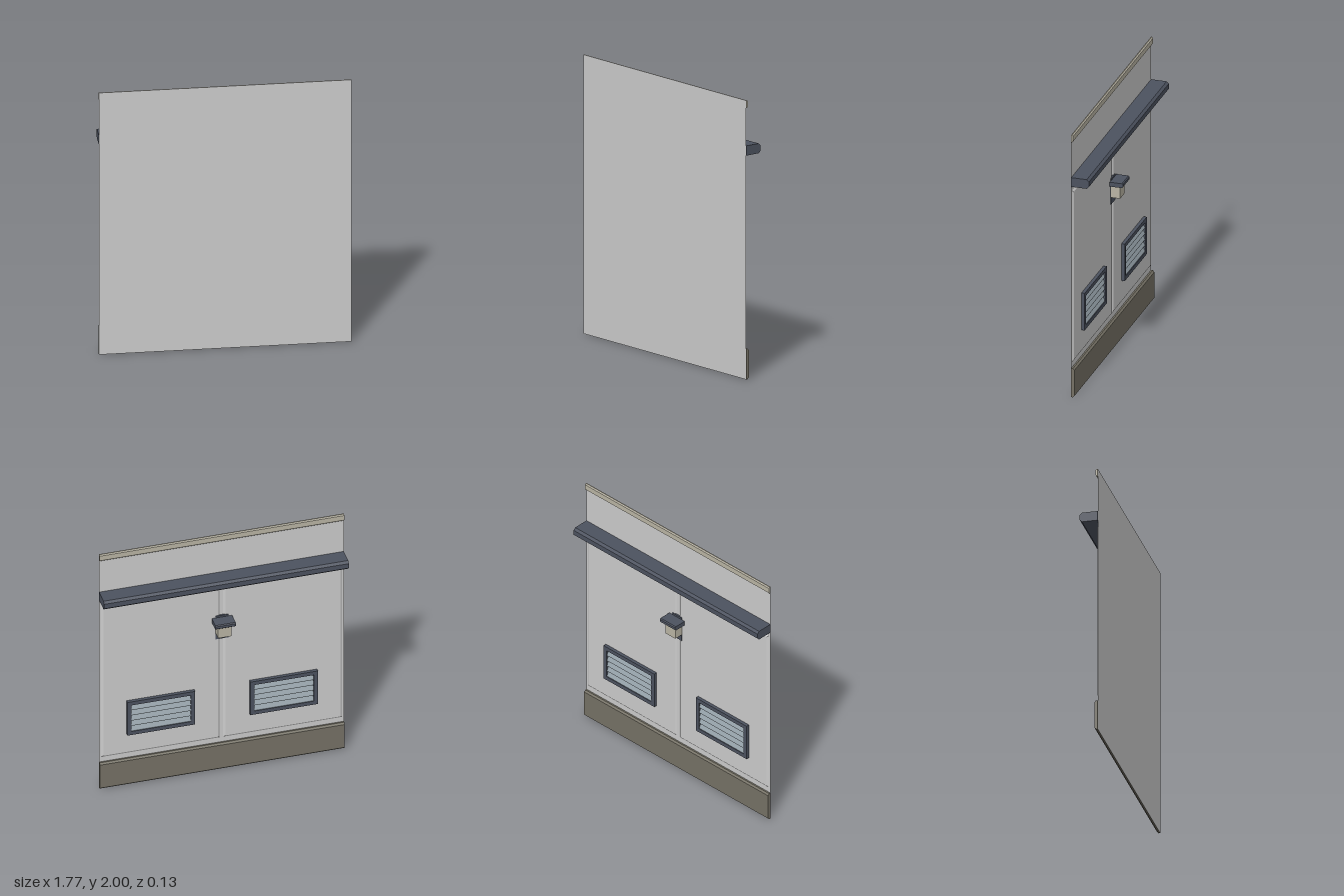
import * as THREE from 'three';

const mat = (name, color, side = THREE.FrontSide) => {
  const m = new THREE.MeshStandardMaterial({ color, side });
  m.name = name;
  return m;
};

const WALL_Z = 0.065; // plane every fitting sits on
const HALF = 0.887;   // half width of the facade

export function createModel() {
  const group = new THREE.Group();
  const wallGrey = mat('wall grey', 0xcbcbcb, THREE.DoubleSide);
  const doorGrey = mat('door grey', 0xcbcbcb);
  const darkMetal = mat('dark metal', 0x4c525f);
  const slatGrey = mat('slat grey', 0x98a4ac);
  const cream = mat('cream', 0xb9b4a4);
  const plinthBrown = mat('plinth brown', 0x757165);

  const add = (name, geometry, material, parent = group) => {
    const mesh = new THREE.Mesh(geometry, material);
    mesh.name = name;
    parent.add(mesh);
    return mesh;
  };

  // Profile of [z, y] points swept along x
  const sweep = (points, x0, x1) => {
    const shape = new THREE.Shape(points.map(([z, y]) => new THREE.Vector2(-z, y)));
    return new THREE.ExtrudeGeometry(shape, { depth: x1 - x0, bevelEnabled: false })
      .rotateY(Math.PI / 2).translate(x0, 0, 0);
  };

  // Strip with its two outer long edges chamfered
  const strip = (x0, x1, y0, y1, zBack, zOut, c) => sweep([
    [zBack, y0], [zOut + c, y0], [zOut, y0 + c],
    [zOut, y1 - c], [zOut + c, y1], [zBack, y1],
  ], x0, x1);

  const box = (x0, x1, y0, y1, z0, z1) =>
    new THREE.BoxGeometry(x1 - x0, y1 - y0, z1 - z0)
      .translate((x0 + x1) / 2, (y0 + y1) / 2, (z0 + z1) / 2);

  // Panel whose outer face is inset on all four sides
  const bevelPanel = (x0, x1, y0, y1, zBack, zOut, inset) => {
    const g = box(x0, x1, y0, y1, zOut, zBack);
    const p = g.attributes.position;
    const cx = (x0 + x1) / 2, cy = (y0 + y1) / 2;
    for (let i = 0; i < p.count; i++) {
      if (p.getZ(i) > (zBack + zOut) / 2) continue;
      p.setX(i, p.getX(i) - Math.sign(p.getX(i) - cx) * inset);
      p.setY(i, p.getY(i) - Math.sign(p.getY(i) - cy) * inset);
    }
    g.computeVertexNormals();
    return g;
  };

  // Thin wall sheet
  add('wall', new THREE.PlaneGeometry(HALF * 2, 2).translate(0, 1, WALL_Z), wallGrey);

  // Full-width strips
  add('cornice', strip(-HALF, HALF, 1.945, 2, WALL_Z - 0.0005, 0.05, 0.008), cream);
  add('awning', strip(-HALF, HALF, 1.605, 1.675, WALL_Z - 0.0005, -0.065, 0.016), darkMetal);
  add('plinth', strip(-HALF, HALF, 0, 0.22, WALL_Z - 0.0005, 0.041, 0.012), plinthBrown);

  // Pair of doors, each with a louvred vent
  for (const [side, s] of [['left', 1], ['right', -1]]) {
    const span = (a, b) => (s > 0 ? [a, b] : [-b, -a]);
    add(side + 'Door', bevelPanel(...span(0.012, 0.873), 0.26, 1.57, WALL_Z - 0.0005, 0.055, 0.014), doorGrey);

    const vent = new THREE.Group();
    vent.name = side + 'Vent';
    group.add(vent);
    const [x0, x1] = span(0.2, 0.69);
    const y0 = 0.43, y1 = 0.713, b = 0.03;
    const rect = (C, d) => new C([
      [x0 + d, y0 + d], [x1 - d, y0 + d], [x1 - d, y1 - d], [x0 + d, y1 - d],
    ].map(([x, y]) => new THREE.Vector2(x, y)));
    const frame = rect(THREE.Shape, 0);
    frame.holes.push(rect(THREE.Path, b));
    add('ventFrame', new THREE.ExtrudeGeometry(frame, { depth: 0.025, bevelEnabled: false })
      .translate(0, 0, 0.031), darkMetal, vent);
    add('ventBack', box(x0 + b, x1 - b, y0 + b, y1 - b, 0.052, 0.056), darkMetal, vent);

    // Slats slope down and outwards
    const n = 5, step = (y1 - y0 - 2 * b) / n;
    for (let i = 0; i < n; i++) {
      const y = y0 + b + i * step;
      add('ventSlat', sweep([
        [0.052, y + step * 0.8], [0.036, y], [0.036, y + step * 0.15], [0.052, y + step * 0.98],
      ], x0 + b, x1 - b), slatGrey, vent);
    }
  }

  // Lamp between the doors
  const lamp = new THREE.Group();
  lamp.name = 'lamp';
  group.add(lamp);
  add('lampPlate', box(-0.046, 0.046, 1.115, 1.312, 0.05, 0.062), darkMetal, lamp);
  add('lampGlass', box(-0.048, 0.048, 1.17, 1.268, -0.017, 0.05), cream, lamp);
  add('lampHood', strip(-0.074, 0.074, 1.265, 1.298, 0.051, -0.045, 0.007), darkMetal, lamp);

  return group;
}
